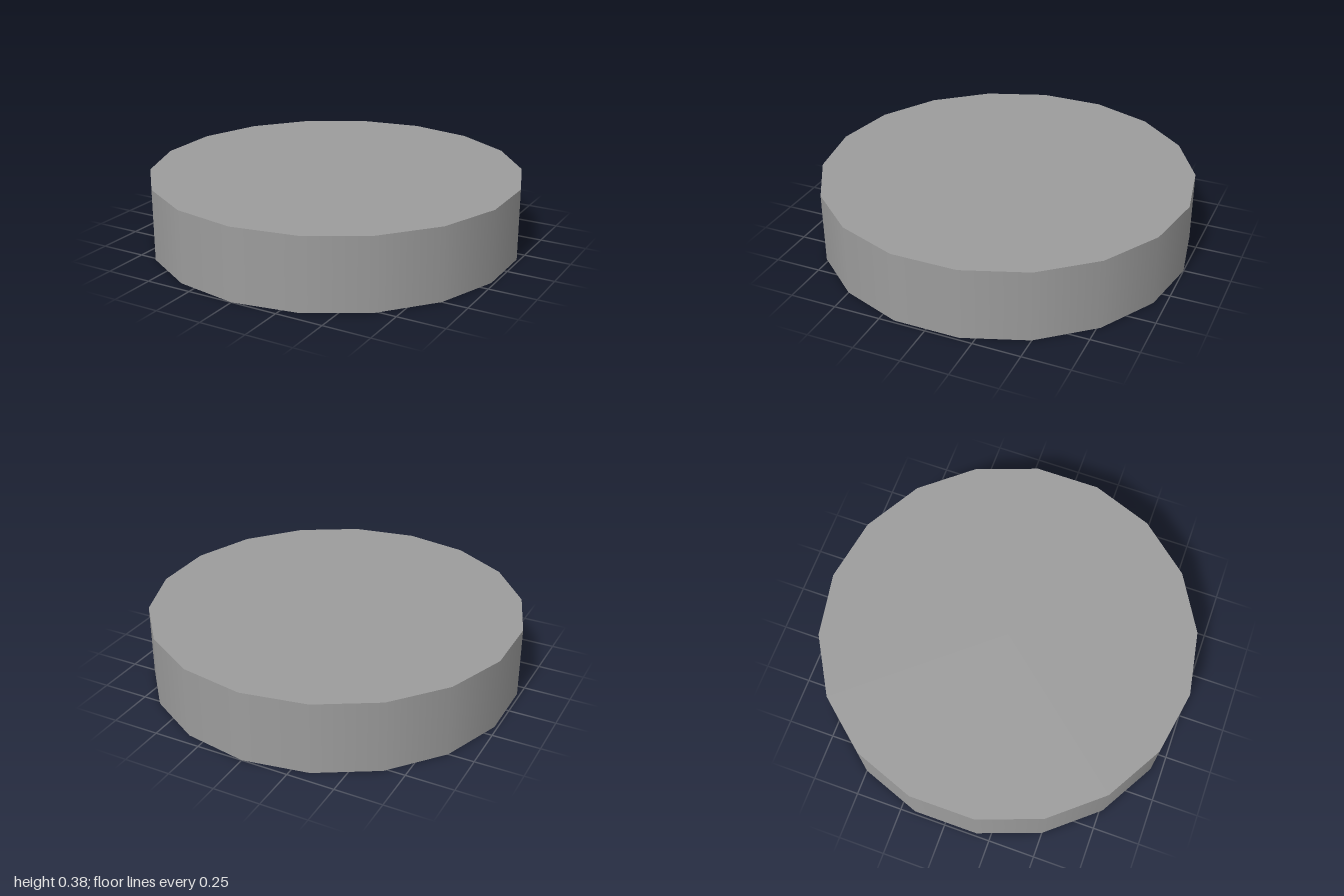
import * as THREE from 'three';

const SIDES = 18;
const RADIUS = 1;
const HEIGHT = 0.385;
const INNER_RADIUS = 0.943;
const RECESS = 0.257;
const COLOR = 0x9c9c9c;

export function createModel() {
  const model = new THREE.Group();
  model.name = 'lid';

  const smooth = new THREE.MeshStandardMaterial({ color: COLOR });
  const faceted = new THREE.MeshStandardMaterial({ color: COLOR, flatShading: true });

  const add = (name, geometry, material, y = 0) => {
    const mesh = new THREE.Mesh(geometry, material);
    mesh.name = name;
    mesh.position.y = y;
    model.add(mesh);
  };

  // Outer wall, smooth around its 18 sides
  add('outerWall', new THREE.CylinderGeometry(RADIUS, RADIUS, HEIGHT, SIDES, 1, true), smooth, HEIGHT / 2);

  // Flat top, with a corner on the z axis
  const top = new THREE.CircleGeometry(RADIUS, SIDES, Math.PI / 2).rotateX(-Math.PI / 2);
  add('topFace', top, faceted, HEIGHT);

  // Hollow underside: recess ceiling, faceted inner wall and bottom rim
  const profile = [
    [0, RECESS], [INNER_RADIUS, RECESS], [INNER_RADIUS, 0], [RADIUS, 0],
  ].map(([r, y]) => new THREE.Vector2(r, y));
  add('hollowUnderside', new THREE.LatheGeometry(profile, SIDES), faceted);

  return model;
}
